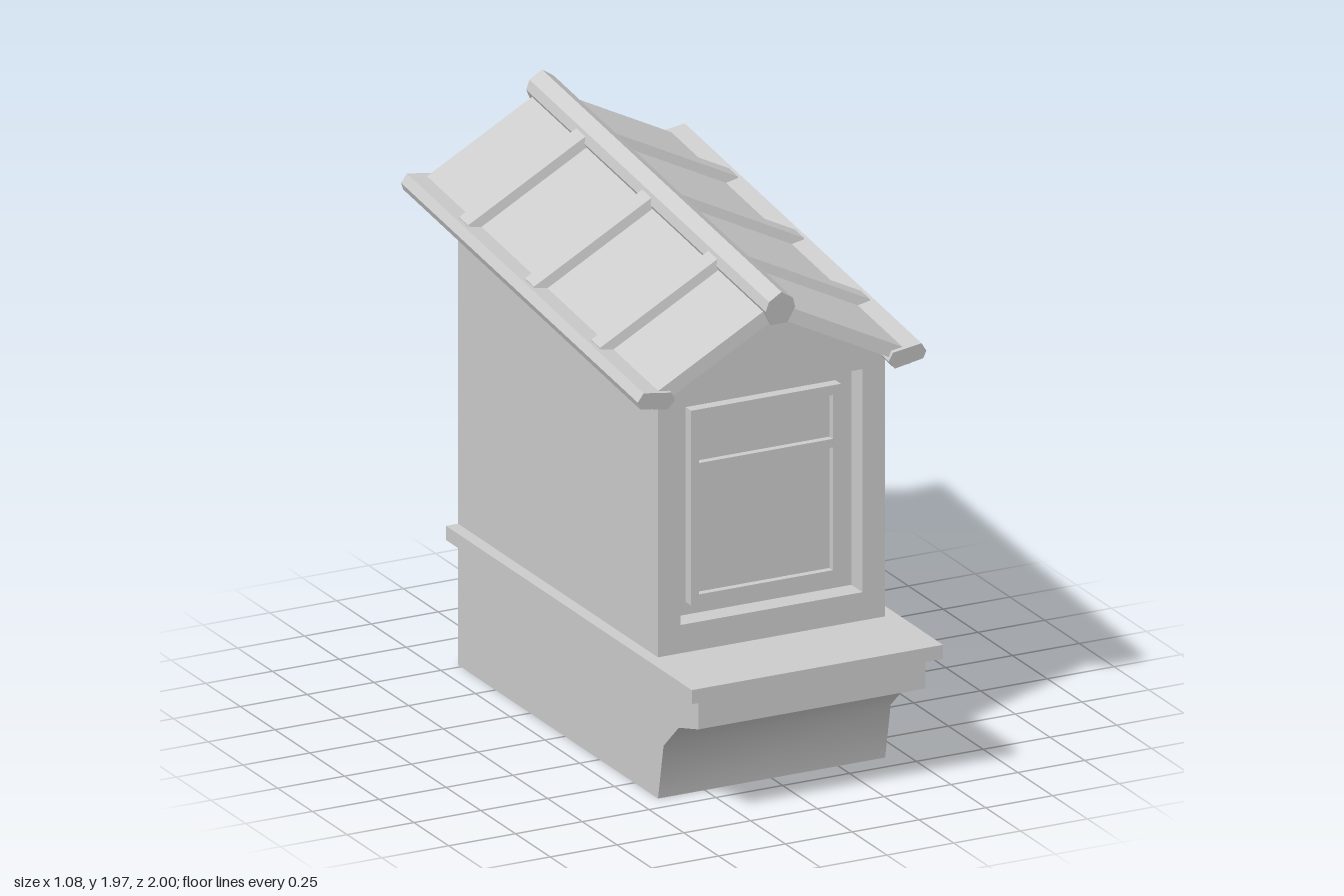
import * as THREE from 'three';
import { toCreasedNormals } from 'three/addons/utils/BufferGeometryUtils.js';

const solid = new THREE.MeshStandardMaterial({ color: 0xcccccc });
const shell = new THREE.MeshStandardMaterial({ color: 0xcccccc, side: THREE.DoubleSide });
const PITCH = 0.128; // the roof climbs towards the back
const lift = (z, z0 = 0.72) => PITCH * (z0 - z);

// Flat-shaded surface through rows of points of equal length
function skin(rows) {
  const pos = [];
  for (let i = 0; i + 1 < rows.length; i++) {
    for (let j = 0; j + 1 < rows[i].length; j++) {
      const a = rows[i][j], b = rows[i][j + 1], c = rows[i + 1][j + 1], d = rows[i + 1][j];
      pos.push(...a, ...b, ...c, ...a, ...c, ...d);
    }
  }
  const g = new THREE.BufferGeometry();
  g.setAttribute('position', new THREE.Float32BufferAttribute(pos, 3));
  g.computeVertexNormals();
  return g;
}

function polygon(points, Type = THREE.Shape) {
  return new Type(points.map(([x, y]) => new THREE.Vector2(x, y)));
}
const rect = (w, y0, y1) => [[-w, y0], [w, y0], [w, y1], [-w, y1]];

export function createModel() {
  const model = new THREE.Group();
  const add = (name, geometry, material = solid) => {
    const m = new THREE.Mesh(geometry, material);
    m.name = name;
    model.add(m);
    return m;
  };
  const box = (name, w, y0, y1, z0, z1) => {
    const g = new THREE.BoxGeometry(2 * w, y1 - y0, z1 - z0);
    add(name, g.translate(0, (y0 + y1) / 2, (z0 + z1) / 2));
  };
  const panel = (name, outline, holes, z0, z1) => {
    const s = polygon(outline);
    s.holes = holes.map((h) => polygon(h, THREE.Path));
    const g = new THREE.ExtrudeGeometry(s, { depth: z1 - z0, bevelEnabled: false });
    add(name, g.translate(0, 0, z0));
  };

  // Front wall with recessed window
  panel('frontWall', [[-0.425, 0.5], [0.425, 0.5], [0.425, 1.46], [0, 1.66], [-0.425, 1.46]],
    [rect(0.34, 0.6, 1.39)], 0.59, 0.67);
  box('windowRecess', 0.34, 0.6, 1.39, 0.57, 0.59);
  panel('windowFrame', rect(0.28, 0.645, 1.335),
    [rect(0.25, 0.68, 1.115), rect(0.25, 1.145, 1.3)], 0.59, 0.63);
  box('windowPanes', 0.26, 0.67, 1.31, 0.585, 0.605);

  // Front ledge and curved bracket below it
  box('frontLedge', 0.47, 0.45, 0.5, 0.67, 1.0);
  const profile = polygon([[0.67, 0], [0.71, 0.2], [0.82, 0.3], [0.96, 0.34], [0.96, 0.45], [0.67, 0.45]]);
  const bracket = new THREE.ExtrudeGeometry(profile, { depth: 0.85, bevelEnabled: false });
  bracket.rotateY(-Math.PI / 2).translate(0.425, 0, 0);
  add('bracket', toCreasedNormals(bracket, 0.75));

  // Floor; the back stays open
  add('floor', skin([[[-0.425, 0, 0.67], [0.425, 0, 0.67]], [[-0.425, 0, -0.77], [0.425, 0, -0.77]]]), shell);

  for (const s of [1, -1]) {
    const side = s > 0 ? 'left' : 'right';

    // Side wall, folded outwards into a hollow trim
    const wallRow = (z) => [[0.425, 0], [0.425, 0.45], [0.47, 0.45], [0.47, 0.5], [0.425, 0.5],
      [0.425, 1.48 + lift(z)]].map(([x, y]) => [s * x, y, z]);
    add(side + 'Wall', skin([wallRow(0.67), wallRow(-0.77)]), shell);

    // Point on the roof surface: t runs from eave (0) to ridge (1)
    const roofPoint = (x, z, up = 0) => {
      const t = 1 - x / 0.48;
      return [s * x, 1.46 + 0.237 * t + lift(z) + up, z - 0.035 * t];
    };

    // Roof sheet with front fascia and return to the wall
    const sheetRow = (x) => [roofPoint(x, -0.93), roofPoint(x, 0.735),
      roofPoint(x, 0.74, -0.052), [s * x, roofPoint(x, 0.735, -0.052)[1], 0.66]];
    add(side + 'RoofSheet', skin([sheetRow(0.48), sheetRow(0)]), shell);

    // Battens with bevelled sides
    for (const z of [0.37, -0.105, -0.58]) {
      const battenRing = (x, dx) => [[-0.055, -0.01], [-0.03, 0.035], [0.035, 0.035], [0.045, -0.01], [-0.055, -0.01]]
        .map(([dz, up]) => roofPoint(x - (up > 0 ? dx : 0), z + dz, up));
      const outer = battenRing(0.505, 0), inner = battenRing(0.02, 0);
      add(side + 'Batten', skin([outer.map(() => outer[0]), outer, inner]), shell);
    }

    // Eave beam, closed at the front and hollow at the back
    const eave = [[0.54, 1.446], [0.52, 1.477], [0.414, 1.461], [0.4, 1.43], [0.425, 1.4], [0.53, 1.42], [0.54, 1.446]];
    const eaveRing = (z) => eave.map(([x, y]) =>
      [s * x, y + lift(z, 0.745), z + PITCH * (y - 1.44)]);
    const front = eaveRing(0.745);
    add(side + 'EaveBeam', skin([front.map(() => front[0]), front, eaveRing(-0.96)]), shell);
  }

  // Ridge beam, closed at the front and hollow at the back
  const half = [[0.045, 1.715], [0.055, 1.68], [0.03, 1.628]];
  const ridge = [[0, 1.745], ...half, ...half.map(([x, y]) => [-x, y]).reverse(), [0, 1.745]];
  const ridgeRing = (z) => ridge.map(([x, y]) => [x, y + lift(z, 0.735), z + PITCH * (y - 1.69)]);
  const front = ridgeRing(0.735);
  add('ridgeBeam', skin([front.map(() => front[0]), front, ridgeRing(-0.99)]), shell);

  return model;
}
